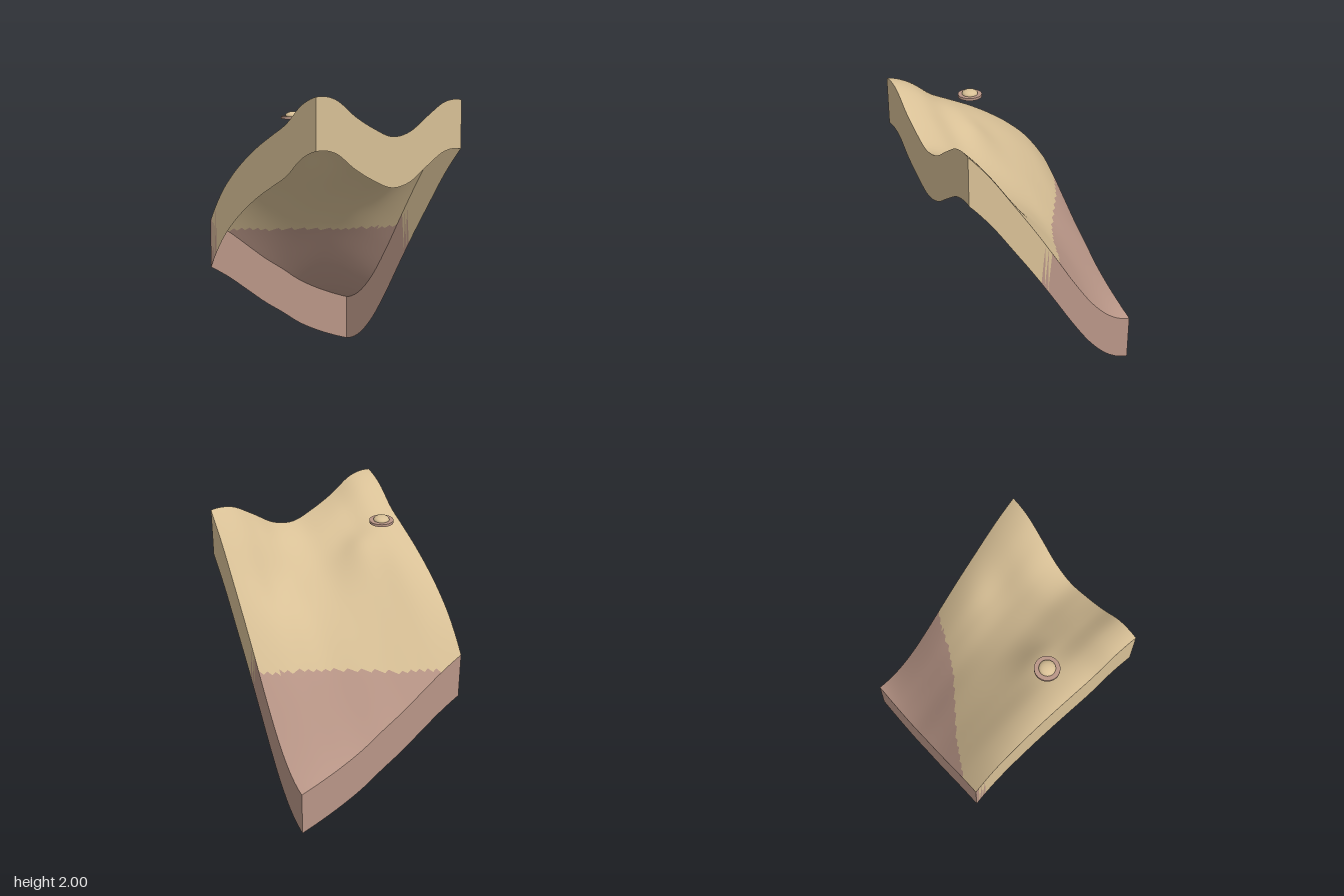
import * as THREE from 'three';

const HALF = 0.633, DEPTH = 0.34, CELLS = 48, CLAY_LEVEL = 0.985;

// Edge height profiles, nine even steps from -HALF to +HALF
const FRONT = [1.07, 1.29, 1.44, 1.555, 1.65, 1.73, 1.81, 1.93, 1.99];
const BACK = [0.34, 0.41, 0.565, 0.79, 1.045, 1.295, 1.53, 1.76, 1.95];
const LOW_SIDE = [0.34, 0.395, 0.46, 0.54, 0.645, 0.745, 0.86, 0.975, 1.07];
const HIGH_SIDE = [1.95, 1.94, 1.85, 1.75, 1.722, 1.78, 1.865, 1.975, 1.995];

// Knolls and hollows: x, z, height, spread
const BUMPS = [
  [0.15, 0.3, 0.07, 0.02],
  [0.46, 0.24, 0.02, 0.02],
  [0.32, -0.36, -0.11, 0.035],
  [-0.28, -0.08, 0.03, 0.06],
];

// Smooth cubic through a profile, t in 0..1
function sample(p, t) {
  const n = p.length - 1, s = t * n, i = Math.min(Math.floor(s), n - 1), f = s - i;
  const b = p[i], c = p[i + 1];
  const a = i > 0 ? p[i - 1] : 3 * b - 3 * c + p[i + 2];
  const d = i < n - 1 ? p[i + 2] : 3 * c - 3 * b + p[i - 1];
  return b + 0.5 * f * (c - a + f * (2 * a - 5 * b + 4 * c - d + f * (3 * (b - c) + d - a)));
}

// Blend of the four edges plus a gentle swell and the bumps inside
function height(u, v) {
  const { lerp } = THREE.MathUtils;
  const alongZ = lerp(sample(BACK, u), sample(FRONT, u), v);
  const alongX = lerp(sample(LOW_SIDE, v), sample(HIGH_SIDE, v), u);
  const corners = lerp(lerp(BACK[0], BACK[8], u), lerp(FRONT[0], FRONT[8], u), v);
  const x = (2 * u - 1) * HALF, z = (2 * v - 1) * HALF;
  const inside = 16 * u * (1 - u) * v * (1 - v);
  let swell = 0.12 - 0.09 * x + 0.05 * z;
  for (const [bx, bz, h, spread] of BUMPS) {
    swell += h * Math.exp(-((x - bx) ** 2 + (z - bz) ** 2) / spread);
  }
  return alongZ + alongX - corners + inside * swell;
}

// Geometry with low triangles in the clay group and the rest in the sand group
function twoTone(positions, triangles) {
  const sand = [], clay = [];
  for (const tri of triangles) {
    const mean = tri.reduce((sum, k) => sum + positions[k * 3 + 1], 0) / 3;
    (mean < CLAY_LEVEL ? clay : sand).push(...tri);
  }
  const g = new THREE.BufferGeometry();
  g.setAttribute('position', new THREE.Float32BufferAttribute(positions, 3));
  g.setIndex([...sand, ...clay]);
  g.addGroup(0, sand.length, 0);
  g.addGroup(sand.length, clay.length, 1);
  g.computeVertexNormals();
  return g;
}

function terrainGeometry() {
  const pos = [], triangles = [], row = CELLS + 1;
  for (let j = 0; j <= CELLS; j++) {
    for (let i = 0; i <= CELLS; i++) {
      const u = i / CELLS, v = j / CELLS;
      pos.push((2 * u - 1) * HALF, height(u, v), (2 * v - 1) * HALF);
    }
  }
  for (let j = 0; j < CELLS; j++) {
    for (let i = 0; i < CELLS; i++) {
      const a = j * row + i, b = a + 1, c = a + row, d = c + 1;
      triangles.push([a, c, b], [b, c, d]);
    }
  }
  return twoTone(pos, triangles);
}

// Hanging wall along one edge; edge(t) gives the plan position
function wallGeometry(edge) {
  const pos = [], triangles = [];
  for (let i = 0; i <= CELLS; i++) {
    const [u, v] = edge(i / CELLS);
    const x = (2 * u - 1) * HALF, z = (2 * v - 1) * HALF, y = height(u, v);
    pos.push(x, y, z, x, y - DEPTH, z);
  }
  for (let a = 0; a < CELLS * 2; a += 2) {
    triangles.push([a, a + 1, a + 2], [a + 2, a + 1, a + 3]);
  }
  return twoTone(pos, triangles);
}

export function createModel() {
  const group = new THREE.Group();
  const sand = new THREE.MeshStandardMaterial({ color: 0xd8c096, side: THREE.DoubleSide });
  sand.name = 'sand';
  const clay = new THREE.MeshStandardMaterial({ color: 0xb99687, side: THREE.DoubleSide });
  clay.name = 'clay';

  const add = (name, geometry, material, parent = group) => {
    const mesh = new THREE.Mesh(geometry, material);
    mesh.name = name;
    parent.add(mesh);
    return mesh;
  };

  // Ground sheet and its four walls, open underneath
  add('terrain', terrainGeometry(), [sand, clay]);
  const walls = {
    frontWall: t => [t, 1],
    backWall: t => [1 - t, 0],
    leftWall: t => [1, 1 - t],
    rightWall: t => [0, t],
  };
  for (const [name, edge] of Object.entries(walls)) add(name, wallGeometry(edge), [sand, clay]);

  // Hovering saucer
  const saucer = new THREE.Group();
  saucer.name = 'saucer';
  saucer.position.set(0.103, 1.84, 0.42);
  group.add(saucer);
  add('saucerRim', new THREE.CylinderGeometry(0.084, 0.084, 0.018, 40), clay, saucer);
  const dome = add('saucerDome', new THREE.SphereGeometry(0.055, 32, 20), sand, saucer);
  dome.scale.y = 0.52;
  dome.position.y = 0.012;

  return group;
}
